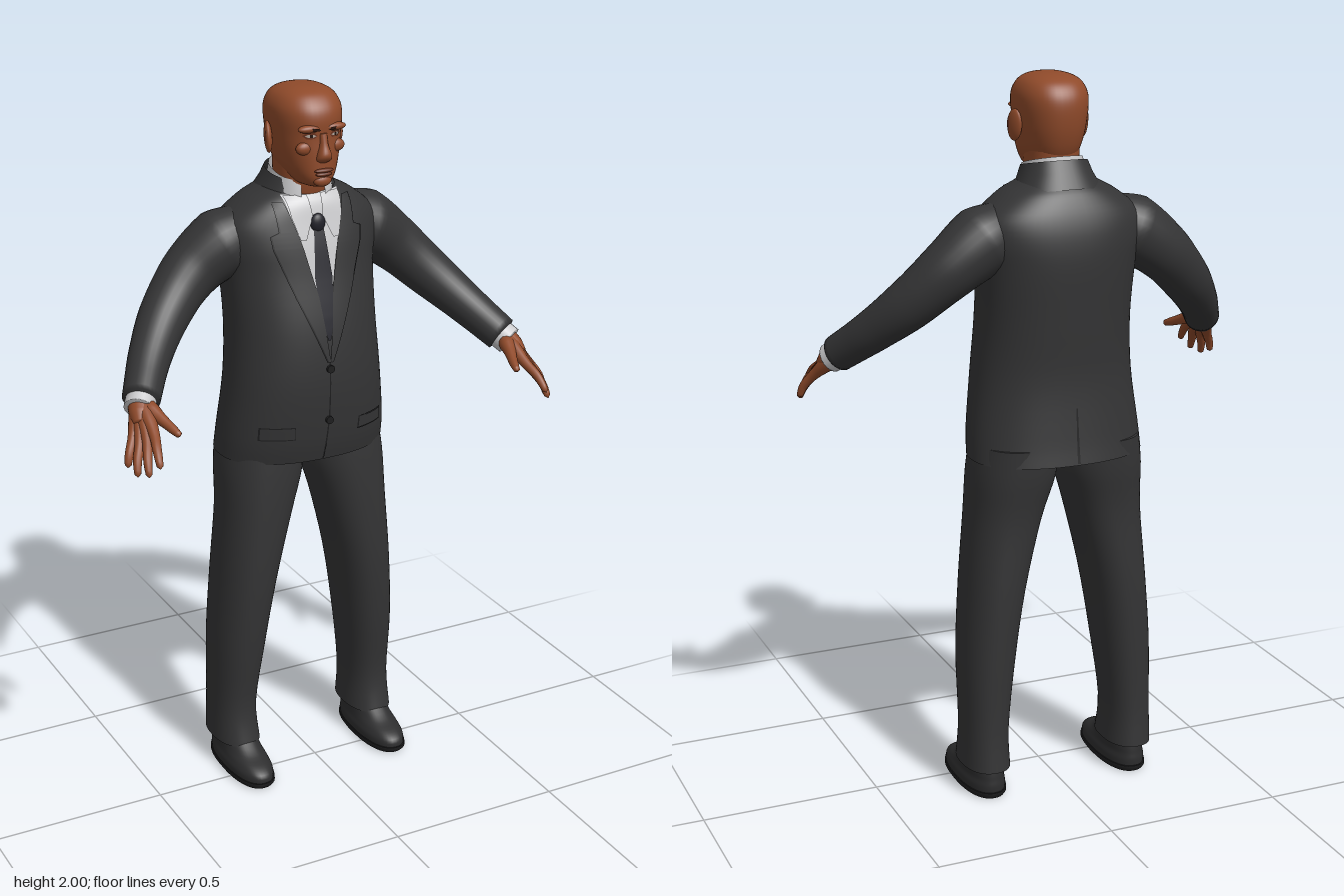
import * as THREE from 'three';
import { mergeVertices } from 'three/addons/utils/BufferGeometryUtils.js';

const { lerp, degToRad } = THREE.MathUtils;
const mat = (name, color) => new THREE.MeshStandardMaterial({ name, color, side: THREE.DoubleSide });

// Build an indexed geometry with smooth normals
function indexed(pos, idx) {
  const g = new THREE.BufferGeometry();
  g.setAttribute('position', new THREE.Float32BufferAttribute(pos, 3));
  g.setIndex(idx);
  g.computeVertexNormals();
  return g;
}

// Mirror a geometry across x = 0, keeping faces outward
function mirrored(geo) {
  const g = geo.clone().scale(-1, 1, 1), ix = g.index.array;
  for (let i = 0; i < ix.length; i += 3) [ix[i], ix[i + 1]] = [ix[i + 1], ix[i]];
  g.computeVertexNormals();
  return g;
}

// Round off a list of cross-sections [y, halfWidth, zFront, zBack, xCentre]
function smooth(secs, n = 4) {
  const out = [], at = i => secs[Math.min(Math.max(i, 0), secs.length - 1)];
  for (let i = 0; i < secs.length - 1; i++) for (let k = 0; k < n; k++) {
    const t = k / n;
    out.push(at(i).map((b, c) => {
      const a = at(i - 1)[c], d = at(i + 1)[c], e = at(i + 2)[c];
      return b + 0.5 * t * (d - a + t * (2 * a - 5 * b + 4 * d - e + t * (3 * (b - d) + e - a)));
    }));
  }
  return [...out, secs.at(-1)];
}

// Loft superelliptic cross-sections upward; an arc leaves the loft open
function loft(secs, { p = 2.3, tilt = 0, from = 0, to = 360, n = 48 } = {}) {
  const pos = [], idx = [], closed = to - from === 360;
  const pow = v => Math.sign(v) * Math.abs(v) ** (2 / p);
  const ring = ([y, hw, zf, zb, cx = 0]) => {
    for (let j = 0; j <= n; j++) {
      const a = degToRad(from + (to - from) * (closed && j === n ? 0 : j / n));
      const z = (zf + zb) / 2 + (zf - zb) / 2 * pow(Math.sin(a));
      pos.push(cx + hw * pow(Math.cos(a)), y - tilt * (z + 0.1), z);
    }
  };
  secs.forEach(ring);
  for (let i = 0; i < secs.length - 1; i++) for (let j = 0; j < n; j++) {
    const a = i * (n + 1) + j, b = a + n + 1, c = closed && j === n - 1 ? a + 1 - n : a + 1, d = c + n + 1;
    idx.push(a, b, c, b, d, c);
  }
  if (closed) [secs[0], secs.at(-1)].forEach((s, k) => {
    const start = pos.length / 3;
    ring(s);
    pos.push(s[4] ?? 0, s[0], (s[2] + s[3]) / 2);
    for (let j = 0; j < n; j++) k ? idx.push(start + n + 1, start + j + 1, start + j) : idx.push(start + n + 1, start + j, start + j + 1);
  });
  return indexed(pos, idx);
}

// Depth of a lofted surface at (x, y)
function depth(secs, x, y, back, p = 2.3) {
  let i = 0;
  while (i < secs.length - 2 && secs[i + 1][0] < y) i++;
  const t = (y - secs[i][0]) / (secs[i + 1][0] - secs[i][0]);
  const [, hw, zf, zb] = secs[i].map((v, c) => lerp(v, secs[i + 1][c], t));
  const d = (zf - zb) / 2 * Math.max(0, 1 - Math.abs(x / hw) ** p) ** (1 / p);
  return (zf + zb) / 2 + (back ? -d : d);
}

// Thin plate lying on a lofted surface; rows [y, x0, x1] run downward
function patch(secs, rows, lift, back = false) {
  const pos = [], idx = [], n = 10, m = 8;
  const total = (rows.length - 1) * m;
  for (let r = 0; r <= total; r++) {
    const i = Math.min(Math.floor(r / m), rows.length - 2), t = r / m - i;
    const [y, x0, x1] = rows[i].map((v, c) => lerp(v, rows[i + 1][c], t));
    for (let j = 0; j <= n; j++) {
      const x = (back ? -1 : 1) * lerp(x0, x1, j / n);
      pos.push(x, y, depth(secs, x, y, back) + (back ? -lift : lift));
      if (r < total && j < n) {
        const a = r * (n + 1) + j, b = a + n + 1;
        idx.push(a, b, a + 1, b, b + 1, a + 1);
      }
    }
  }
  return indexed(pos, idx);
}

// Tube along a curve with changing radius and closed ends
function sweep(points, radii, seg = 24, sides = 20) {
  const curve = new THREE.CatmullRomCurve3(points.map(q => new THREE.Vector3(...q)));
  const g = new THREE.TubeGeometry(curve, seg, 1, sides), P = g.attributes.position, v = new THREE.Vector3();
  for (let i = 0; i <= seg; i++) {
    const c = curve.getPointAt(i / seg), f = i / seg * (radii.length - 1), k = Math.min(Math.floor(f), radii.length - 2);
    const r = i === 0 || i === seg ? 0.0005 : lerp(radii[k], radii[k + 1], f - k);
    for (let j = 0; j <= sides; j++) {
      const q = i * (sides + 1) + j;
      v.fromBufferAttribute(P, q).sub(c).multiplyScalar(r).add(c);
      P.setXYZ(q, v.x, v.y, v.z);
    }
  }
  g.deleteAttribute('uv');
  g.deleteAttribute('normal');
  const m = mergeVertices(g, 1e-5);
  m.computeVertexNormals();
  return m;
}

const blob = (x, y, z, sx, sy, sz) => new THREE.SphereGeometry(1, 20, 14).scale(sx, sy, sz).translate(x, y, z);

export function createModel() {
  const model = new THREE.Group();
  const suit = mat('charcoal suit', 0x343435), seam = mat('dark seam', 0x1d1d1e), shirt = mat('pale shirt', 0xc9c9cb);
  const tie = mat('dark tie', 0x22222a), skin = mat('brown skin', 0x8f4a2a), lip = mat('dark skin', 0x6b3420);
  const hair = mat('brow brown', 0x2a1710), white = mat('eye white', 0xb5aaa0), shoe = mat('shoe leather', 0x2d2d2e);
  const add = (name, geo, material) => {
    const mesh = new THREE.Mesh(geo, material);
    mesh.name = name;
    model.add(mesh);
  };
  const pair = (name, geo, material) => {
    add(name + 'Left', geo, material);
    add(name + 'Right', mirrored(geo), material);
  };

  // Jacket body
  const torso = smooth([
    [0.975, 0.245, 0.06, -0.275], [1.05, 0.24, 0.077, -0.265], [1.2, 0.222, 0.09, -0.254], [1.35, 0.212, 0.078, -0.264],
    [1.5, 0.218, 0.045, -0.275], [1.58, 0.232, 0.028, -0.272], [1.64, 0.222, 0.012, -0.258],
    [1.69, 0.165, -0.002, -0.235], [1.715, 0.12, -0.02, -0.215], [1.735, 0.085, -0.05, -0.195]]);
  add('jacketBody', loft(torso, { n: 64 }), suit);
  add('jacketCollar', loft([[1.685, 0.125, 0.005, -0.225], [1.73, 0.1, -0.015, -0.2], [1.765, 0.088, -0.025, -0.182]],
    { tilt: 0.2, from: 135, to: 405 }), suit);
  add('frontOverlap', patch(torso, [[1.27, -0.002, 0.002], [1.1, -0.002, 0.002], [0.98, -0.01, -0.005]], 0.003), seam);
  add('backVent', patch(torso, [[1.13, -0.002, 0.002], [0.98, -0.004, 0.004]], 0.003, true), seam);

  // Lapels with a dark edge
  const lapel = [[1.7, 0.088, 0.112], [1.625, 0.064, 0.108], [1.615, 0.061, 0.132], [1.58, 0.051, 0.128], [1.45, 0.021, 0.08], [1.27, 0, 0.006]];
  pair('lapel', patch(torso, lapel, 0.009), suit);
  pair('lapelEdge', patch(torso, lapel.map(([y, a, b]) => [y, a, b + 0.004]), 0.006), seam);

  // Pocket flaps and buttons
  const flap = [[1.088, 0.1, 0.185], [1.055, 0.098, 0.187]];
  pair('pocketFlap', patch(torso, flap, 0.006), suit);
  pair('pocketEdge', patch(torso, [[1.09, 0.097, 0.188], [1.051, 0.095, 0.19]], 0.003), seam);
  for (const y of [1.25, 1.1])
    add('jacketButton', new THREE.CylinderGeometry(0.011, 0.011, 0.008, 16).rotateX(Math.PI / 2).translate(0, y, depth(torso, 0, y) + 0.005), seam);

  // Shirt and tie
  add('shirtFront', patch(torso, [[1.715, -0.085, 0.085], [1.65, -0.072, 0.072], [1.55, -0.044, 0.044], [1.45, -0.022, 0.022], [1.36, -0.003, 0.003]], 0.003), shirt);
  add('shirtCollar', loft([[1.7, 0.09, 0.002, -0.19], [1.74, 0.083, -0.003, -0.18], [1.772, 0.078, -0.01, -0.174]],
    { tilt: 0.25, from: 112, to: 428 }), shirt);
  pair('collarWing', patch(torso, [[1.714, 0.02, 0.082], [1.66, 0.014, 0.074], [1.6, 0.04, 0.056]], 0.009), shirt);
  add('tieBlade', patch(torso, [[1.63, -0.014, 0.014], [1.5, -0.026, 0.026], [1.4, -0.02, 0.02], [1.33, -0.004, 0.004]], 0.007), tie);
  add('tieKnot', blob(0, 1.64, 0.016, 0.022, 0.026, 0.014), tie);

  // Sleeves, cuffs and hands
  pair('sleeve', sweep([[0.13, 1.61, -0.12], [0.22, 1.572, -0.13], [0.31, 1.507, -0.13], [0.4, 1.42, -0.09], [0.48, 1.336, -0.015], [0.556, 1.25, 0.09]],
    [0.07, 0.096, 0.083, 0.074, 0.068, 0.06, 0.054, 0.05], 48, 28), suit);
  pair('shirtCuff', sweep([[0.54, 1.268, 0.068], [0.553, 1.253, 0.086], [0.566, 1.239, 0.104]], [0.041, 0.041], 16), shirt);
  pair('wrist', sweep([[0.54, 1.268, 0.068], [0.557, 1.247, 0.094], [0.577, 1.21, 0.145]], [0.03, 0.033, 0.031, 0.02]), skin);
  const fingers = [
    [[0.554, 1.25, 0.1], [0.563, 1.203, 0.193], [0.575, 1.175, 0.24], [0.582, 1.14, 0.274]],
    [[0.556, 1.248, 0.098], [0.58, 1.187, 0.188], [0.597, 1.15, 0.227], [0.604, 1.112, 0.252]],
    [[0.558, 1.246, 0.094], [0.595, 1.178, 0.173], [0.614, 1.14, 0.2], [0.622, 1.104, 0.218]],
    [[0.56, 1.244, 0.09], [0.607, 1.178, 0.152], [0.624, 1.15, 0.17], [0.633, 1.118, 0.18]]];
  fingers.forEach((path, i) => pair('finger' + (i + 1), sweep(path, [0.024, 0.023, 0.02, 0.016, 0.0135, 0.0125, 0.011, 0.008], 24, 14), skin));
  pair('thumb', sweep([[0.548, 1.25, 0.105], [0.533, 1.232, 0.155], [0.518, 1.215, 0.2], [0.508, 1.203, 0.235]], [0.022, 0.022, 0.017, 0.014, 0.012, 0.008], 24, 14), skin);

  // Trousers
  const leg = smooth([
    [0.085, 0.067, 0, -0.216, 0.218], [0.2, 0.063, -0.018, -0.21, 0.218], [0.4, 0.074, 0.01, -0.215, 0.206],
    [0.6, 0.083, 0.03, -0.22, 0.183], [0.8, 0.1, 0.036, -0.222, 0.15], [0.93, 0.117, 0.035, -0.242, 0.128], [1.02, 0.112, 0.03, -0.25, 0.12]]);
  pair('trouserLeg', loft(leg), suit);

  // Shoes
  pair('shoeUpper', loft(smooth([[0.012, 0.061, 0.108, -0.198, 0.217], [0.035, 0.061, 0.106, -0.2, 0.217], [0.053, 0.056, 0.082, -0.198, 0.217],
    [0.072, 0.053, 0.03, -0.196, 0.217], [0.11, 0.05, -0.025, -0.19, 0.217]])), shoe);
  pair('shoeSole', loft([[0, 0.06, 0.105, -0.196, 0.217], [0.008, 0.065, 0.113, -0.203, 0.217], [0.018, 0.064, 0.112, -0.203, 0.217]]), seam);

  // Head and neck
  const head = smooth([
    [1.742, 0.02, 0.028, -0.06], [1.75, 0.043, 0.044, -0.1], [1.77, 0.06, 0.053, -0.15], [1.8, 0.074, 0.053, -0.172],
    [1.84, 0.084, 0.052, -0.187], [1.88, 0.09, 0.05, -0.195], [1.92, 0.094, 0.052, -0.197], [1.95, 0.092, 0.045, -0.19],
    [1.975, 0.08, 0.026, -0.172], [1.99, 0.06, 0.003, -0.145], [1.998, 0.033, -0.03, -0.11], [2, 0.003, -0.065, -0.075]]);
  add('head', loft(head), skin);
  add('neck', loft([[1.64, 0.074, -0.035, -0.175], [1.7, 0.07, -0.018, -0.168], [1.75, 0.069, -0.003, -0.166], [1.8, 0.07, -0.005, -0.168]]), skin);

  // Face
  add('nose', loft(smooth([[1.812, 0.012, 0.055, 0.03], [1.82, 0.021, 0.067, 0.03], [1.835, 0.019, 0.074, 0.03],
    [1.86, 0.012, 0.064, 0.03], [1.89, 0.011, 0.056, 0.03]]), { n: 24 }), skin);
  pair('browRidge', blob(0.036, 1.903, 0.04, 0.034, 0.011, 0.015), skin);
  pair('cheek', blob(0.045, 1.85, 0.03, 0.026, 0.018, 0.015), skin);
  pair('eyebrow', patch(head, [[1.906, 0.018, 0.055], [1.899, 0.012, 0.06]], 0.009), hair);
  pair('eyeLid', patch(head, [[1.893, 0.026, 0.046], [1.885, 0.018, 0.055], [1.877, 0.026, 0.046]], 0.002), lip);
  pair('eyeWhite', patch(head, [[1.889, 0.03, 0.043], [1.885, 0.022, 0.05], [1.881, 0.03, 0.043]], 0.004), white);
  pair('iris', patch(head, [[1.889, 0.032, 0.039], [1.881, 0.032, 0.039]], 0.005), hair);
  add('upperLip', blob(0, 1.791, 0.052, 0.028, 0.006, 0.009), lip);
  add('lowerLip', blob(0, 1.781, 0.051, 0.024, 0.006, 0.009), lip);
  add('chin', blob(0, 1.762, 0.043, 0.026, 0.016, 0.014), skin);

  // Ears
  pair('ear', blob(0, 0, 0, 0.011, 0.043, 0.026).rotateY(0.35).rotateX(-0.15).translate(0.1, 1.865, -0.075), skin);
  pair('earHollow', blob(0, 0, 0, 0.004, 0.022, 0.012).rotateY(0.35).translate(0.109, 1.868, -0.068), lip);

  return model;
}
